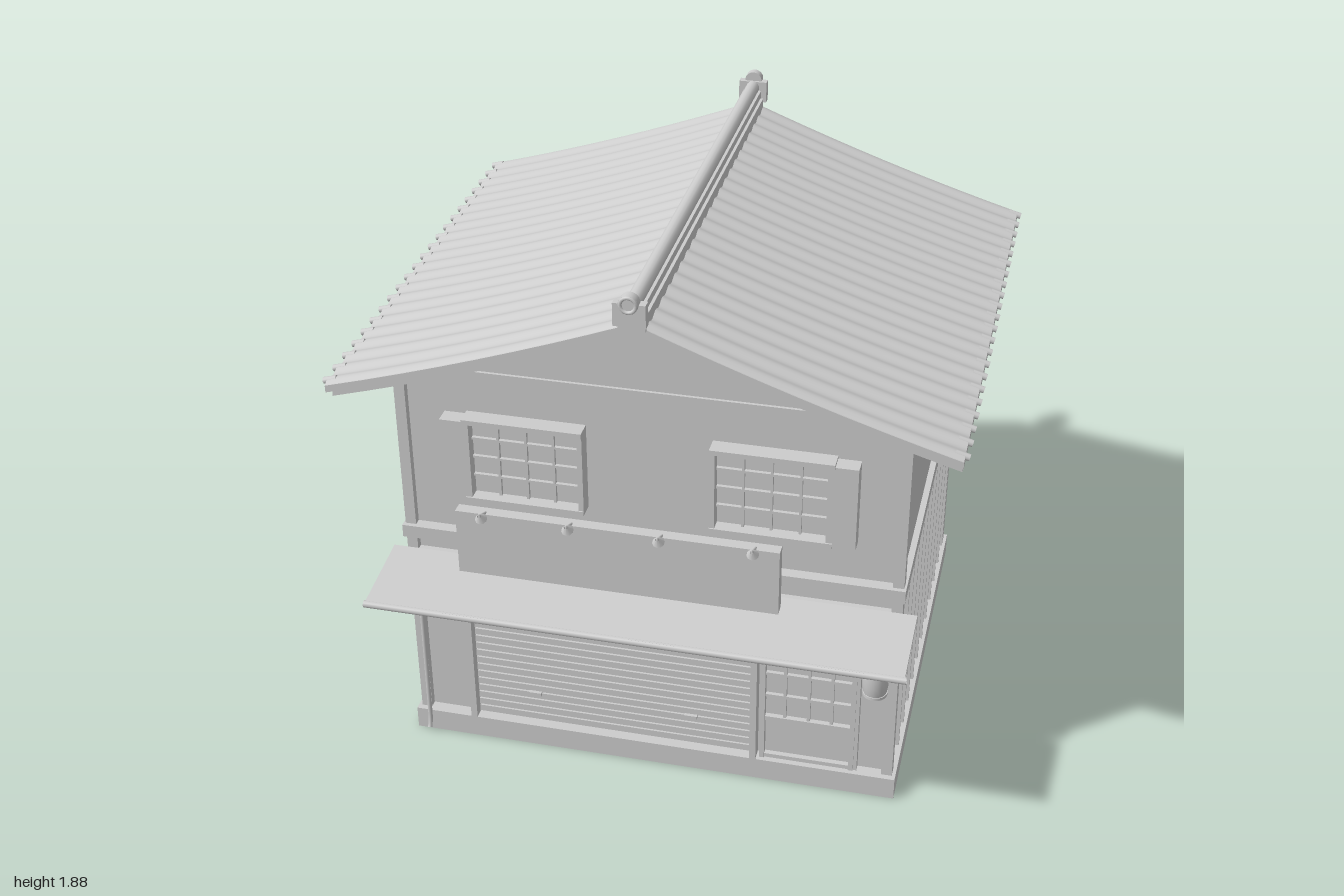
import * as THREE from 'three';

const gray = new THREE.MeshStandardMaterial({ color: 0xcccccc });
gray.name = 'plain gray';
const graySheet = gray;
graySheet.side = THREE.DoubleSide;

// Curved roof slope height at a distance from the ridge
const slope = (x) => 1.77 - 0.4 * Math.abs(x) + 0.06 * x * x;

export function createModel() {
  const model = new THREE.Group();
  model.name = 'shopHouse';
  const add = (name, geo, parent = model) => {
    const m = new THREE.Mesh(geo, gray);
    m.name = name;
    parent.add(m);
    return m;
  };
  const group = (name) => {
    const g = new THREE.Group();
    g.name = name;
    model.add(g);
    return g;
  };
  // Box given by its min and max on each axis
  const box = (name, x0, x1, y0, y1, z0, z1, parent) =>
    add(name, new THREE.BoxGeometry(x1 - x0, y1 - y0, z1 - z0)
      .translate((x0 + x1) / 2, (y0 + y1) / 2, (z0 + z1) / 2), parent);
  // Round rod between two points
  const rod = (name, a, b, r, parent) =>
    add(name, new THREE.TubeGeometry(
      new THREE.LineCurve3(new THREE.Vector3(...a), new THREE.Vector3(...b)), 1, r, 8), parent);
  const extrude = (pts, z0, z1) => new THREE.ExtrudeGeometry(
    new THREE.Shape(pts.map((p) => new THREE.Vector2(...p))),
    { depth: z1 - z0, bevelEnabled: false }).translate(0, 0, z0);

  // Foundation and wall body with gables
  box('foundation', -0.835, 0.835, 0, 0.08, -0.785, 0.69);
  add('walls', extrude([[-0.81, 0.08], [0.81, 0.08], [0.81, 1.44], [0, 1.72], [-0.81, 1.44]], -0.76, 0.645));
  box('upperBand', -0.83, 0.83, 0.8, 0.845, -0.78, 0.685);
  for (const [z0, z1] of [[0.64, 0.655], [-0.768, -0.75]]) box('gableBeam', -0.8, 0.8, 1.425, 1.44, z0, z1);
  for (const s of [-1, 1]) {
    const x = s * 0.805;
    box('backCornerPost', x - 0.018, x + 0.018, 0.08, 1.435, -0.77, -0.735);
    box('frontCornerPost', x - 0.018, x + 0.018, 0.08, 1.435, 0.63, 0.67);
    // Side cladding battens
    const g = group('sideBattens');
    for (let i = 0; i < 11; i++) {
      const z = 0.505 - i * 0.1215;
      box('batten', s * 0.816 - 0.008, s * 0.816 + 0.008, 0.08, 0.8, z - 0.006, z + 0.006, g);
    }
  }

  // Roof: deck, rafters, rippled tile sheets and round tile ends
  const roof = group('roof');
  const band = (s, x1, top, bottom, z0, z1) => {
    const up = [], down = [];
    for (let i = 0; i <= 8; i++) {
      const x = (x1 * i) / 8;
      up.push([s * x, slope(x) - top]);
      down.unshift([s * x, slope(x) - bottom]);
    }
    return extrude([...up, ...down], z0, z1);
  };
  for (const s of [-1, 1]) {
    add('roofDeck', band(s, 0.985, 0.006, 0.03, -0.92, 0.82), roof);
    for (let i = 0; i < 15; i++) {
      const z = 0.775 - i * 0.1175;
      add('rafter', band(s, 0.98, 0.03, 0.065, z - 0.006, z + 0.006), roof);
    }
    const tiles = new THREE.PlaneGeometry(0.985, 1.74, 10, 176).rotateX(-Math.PI / 2).translate(s * 0.4925, 0, -0.05);
    const p = tiles.attributes.position;
    for (let i = 0; i < p.count; i++) {
      const wave = Math.cos(((p.getZ(i) - 0.79) / 0.08) * 2 * Math.PI);
      p.setY(i, slope(p.getX(i)) + 0.005 * wave);
    }
    tiles.computeVertexNormals();
    add('tileSheet', tiles, roof);
    for (let i = 0; i < 22; i++) {
      const z = 0.79 - i * 0.08;
      add('tileEnd', new THREE.CylinderGeometry(0.011, 0.011, 0.045, 10)
        .rotateZ(Math.PI / 2 - s * 0.27).translate(s * 0.977, 1.435, z), roof);
    }
  }

  // Ridge with stepped courses, round cap and end ornaments
  const ridge = group('ridge');
  box('ridgeBase', -0.042, 0.042, 1.745, 1.79, -0.9, 0.83, ridge);
  box('ridgeCourse', -0.032, 0.032, 1.79, 1.815, -0.91, 0.84, ridge);
  add('ridgeCap', new THREE.CylinderGeometry(0.024, 0.024, 1.76, 14)
    .rotateX(Math.PI / 2).translate(0, 1.823, -0.04), ridge);
  for (const s of [-1, 1]) {
    const z = -0.045 + s * 0.885;
    box('ridgeEnd', -0.05, 0.05, 1.77, 1.845, z - 0.015, z + 0.015, ridge);
    add('ridgeEndDisc', new THREE.CylinderGeometry(0.03, 0.03, 0.03, 18)
      .rotateX(Math.PI / 2).translate(0, 1.847, z + s * 0.01), ridge);
    add('ridgeEndRing', new THREE.TorusGeometry(0.024, 0.006, 8, 18).translate(0, 1.847, z + s * 0.025), ridge);
  }

  // Upper windows with lattice and side shutter box, mirrored
  for (const s of [-1, 1]) {
    const g = group('window');
    const b = (name, a, c, y0, y1, z1) =>
      box(name, Math.min(s * a, s * c), Math.max(s * a, s * c), y0, y1, 0.64, z1, g);
    b('shutterBox', 0.594, 0.667, 0.985, 1.28, 0.7);
    b('windowPane', 0.21, 0.59, 0.99, 1.28, 0.66);
    b('frameTop', 0.203, 0.594, 1.273, 1.29, 0.705);
    b('frameBottom', 0.203, 0.594, 0.985, 1.002, 0.705);
    b('frameInner', 0.203, 0.22, 0.985, 1.29, 0.7);
    b('frameOuter', 0.573, 0.594, 0.985, 1.29, 0.7);
    for (const x of [0.305, 0.395, 0.487]) b('windowBar', x - 0.004, x + 0.004, 1, 1.275, 0.672);
    for (const y of [1.07, 1.138, 1.206]) b('windowBar', 0.22, 0.573, y - 0.004, y + 0.004, 0.672);
  }

  // Sign board with lamps
  const sign = group('signBoard');
  box('board', -0.617, 0.44, 0.74, 0.975, 0.71, 0.75, sign);
  for (const x of [-0.5, 0.32]) box('signMount', x - 0.02, x + 0.02, 0.86, 0.9, 0.64, 0.715, sign);
  for (const x of [-0.52, -0.235, 0.06, 0.36]) {
    rod('lampArm', [x, 0.97, 0.73], [x, 1.0, 0.8], 0.005, sign);
    add('lampShade', new THREE.ConeGeometry(0.02, 0.03, 10).rotateX(0.5).translate(x, 0.99, 0.785), sign);
  }

  // Sloping awning with front rail and struts
  const awning = group('awning');
  add('awningSheet', extrude([[-0.67, 0.75], [-0.95, 0.715], [-0.95, 0.703], [-0.67, 0.735]], -0.87, 0.87)
    .rotateY(Math.PI / 2), awning);
  box('wallBeam', -0.82, 0.82, 0.7, 0.745, 0.64, 0.685, awning);
  rod('frontRail', [-0.875, 0.705, 0.945], [0.875, 0.705, 0.945], 0.012, awning);
  for (const x of [-0.78, 0.82]) rod('strut', [x, 0.69, 0.94], [x, 0.63, 0.68], 0.006, awning);

  // Roller shutter
  const shutter = group('rollerShutter');
  box('shutterHeader', -0.637, 0.364, 0.65, 0.7, 0.64, 0.705, shutter);
  for (const x of [-0.637, 0.342]) box('shutterRail', x, x + 0.022, 0.08, 0.65, 0.64, 0.69, shutter);
  for (let i = 0; i < 19; i++) {
    const y = 0.083 + i * 0.03;
    box('slat', -0.615, 0.342, y, y + 0.024, 0.64, 0.656, shutter);
  }
  for (const x of [-0.41, 0.135]) box('shutterHandle', x - 0.022, x + 0.022, 0.193, 0.205, 0.65, 0.668, shutter);

  // Lattice door
  const door = group('door');
  box('doorPanel', 0.38, 0.685, 0.085, 0.6, 0.64, 0.652, door);
  for (const x of [0.374, 0.676]) box('doorStile', x, x + 0.016, 0.08, 0.605, 0.64, 0.675, door);
  box('doorTop', 0.374, 0.692, 0.59, 0.605, 0.64, 0.675, door);
  box('doorMidRail', 0.38, 0.685, 0.238, 0.255, 0.64, 0.67, door);
  box('doorBottom', 0.38, 0.685, 0.08, 0.095, 0.64, 0.67, door);
  for (const x of [0.455, 0.535, 0.612]) box('doorBar', x - 0.005, x + 0.005, 0.25, 0.6, 0.64, 0.665, door);
  for (const y of [0.34, 0.43, 0.52]) box('doorBar', 0.38, 0.685, y - 0.005, y + 0.005, 0.64, 0.665, door);
  box('doorPost', 0.692, 0.704, 0.08, 0.7, 0.64, 0.67, door);

  // Hanging paper lantern
  const lantern = group('lantern');
  const profile = [[0, 0.49], [0.034, 0.49], [0.038, 0.5], [0.042, 0.53], [0.043, 0.56],
    [0.042, 0.59], [0.038, 0.62], [0.034, 0.63], [0, 0.63]].map((p) => new THREE.Vector2(...p));
  add('lanternBody', new THREE.LatheGeometry(profile, 20).translate(0.76, 0, 0.757), lantern);
  for (const y of [0.493, 0.627]) {
    add('lanternRim', new THREE.CylinderGeometry(0.04, 0.04, 0.01, 20).translate(0.76, y, 0.757), lantern);
  }
  rod('lanternCord', [0.76, 0.625, 0.757], [0.76, 0.73, 0.757], 0.004, lantern);

  // Drainpipe with elbows
  const path = new THREE.CatmullRomCurve3([[0.71, 0.72], [0.692, 0.67], [0.692, 0.6], [0.697, 0.1], [0.7, 0.04], [0.71, 0.02]]
    .map(([z, y]) => new THREE.Vector3(-0.785, y, z)));
  add('drainpipe', new THREE.TubeGeometry(path, 20, 0.008, 8));

  return model;
}
